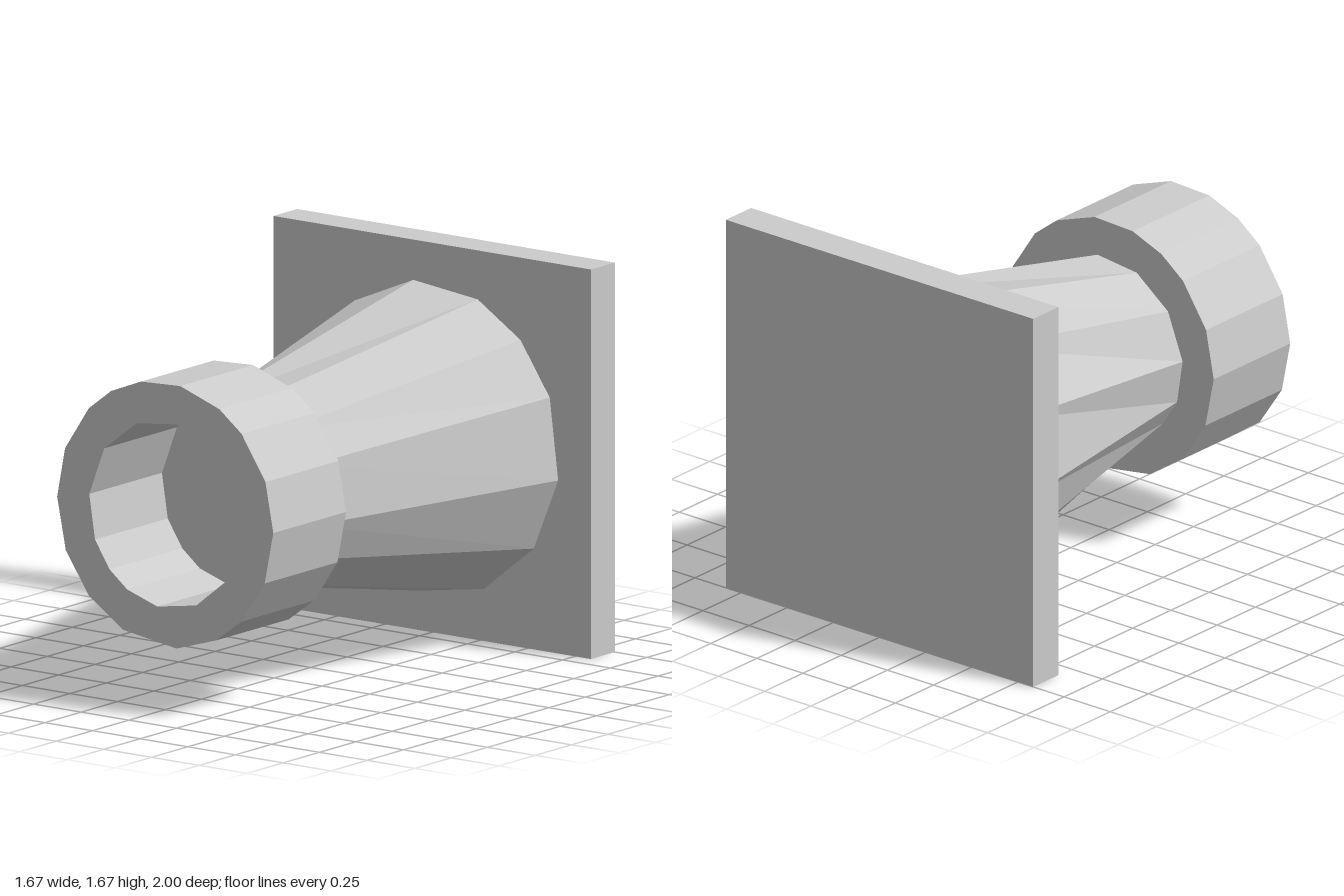
import * as THREE from 'three';

const CY = 0.833; // height of the common axis
const material = new THREE.MeshStandardMaterial({ color: 0xcccccc, flatShading: true });

// Ring corners in degrees, counter-clockwise from +x
const CONE_BACK = [-173, -150, -128, -96, -66, -37, -8, 22.5, 46, 69, 98.5, 127.5, 156.5];
const CONE_FRONT = [-157, -137, -120, -96, -66, -37, -12, 25, 51, 81, 112, 143, 175];
const COLLAR = [-157, -135, -113, -84, -62, -45, -23, 0, 22, 45, 60, 82, 103, 120, 135, 158, 180];

const ring = (angles, r) => angles.map((a) => {
  const t = THREE.MathUtils.degToRad(a);
  return new THREE.Vector2(r * Math.cos(t), r * Math.sin(t));
});

// Faceted solid between two rings with equal corner counts, capped at both ends
function loft(back, zBack, front, zFront) {
  const n = back.length;
  const pos = [];
  const index = [];
  back.forEach((p) => pos.push(p.x, p.y, zBack));
  front.forEach((p) => pos.push(p.x, p.y, zFront));
  pos.push(0, 0, zBack, 0, 0, zFront);
  for (let i = 0; i < n; i++) {
    const j = (i + 1) % n;
    index.push(i, j, n + j, i, n + j, n + i);
    index.push(2 * n, j, i, 2 * n + 1, n + i, n + j);
  }
  const g = new THREE.BufferGeometry();
  g.setAttribute('position', new THREE.Float32BufferAttribute(pos, 3));
  g.setIndex(index);
  const flat = g.toNonIndexed();
  flat.computeVertexNormals();
  return flat;
}

export function createModel() {
  const model = new THREE.Group();
  model.name = 'mountedNozzle';
  const add = (name, geometry, z = 0) => {
    const mesh = new THREE.Mesh(geometry, material);
    mesh.name = name;
    mesh.position.set(0, CY, z);
    model.add(mesh);
  };

  // Square mounting plate at the back
  add('mountingPlate', new THREE.BoxGeometry(1.666, 1.666, 0.165), -0.9175);

  // Tapered neck; its front cap is the floor of the collar recess
  add('taperedNeck', loft(ring(CONE_BACK, 0.668), -0.835, ring(CONE_FRONT, 0.4), 0.5));

  // Thick open collar at the front
  const shape = new THREE.Shape(ring(COLLAR, 0.567));
  shape.holes.push(new THREE.Path(ring(CONE_FRONT, 0.4)));
  add('collar', new THREE.ExtrudeGeometry(shape, { depth: 0.5, bevelEnabled: false }), 0.5);

  return model;
}
